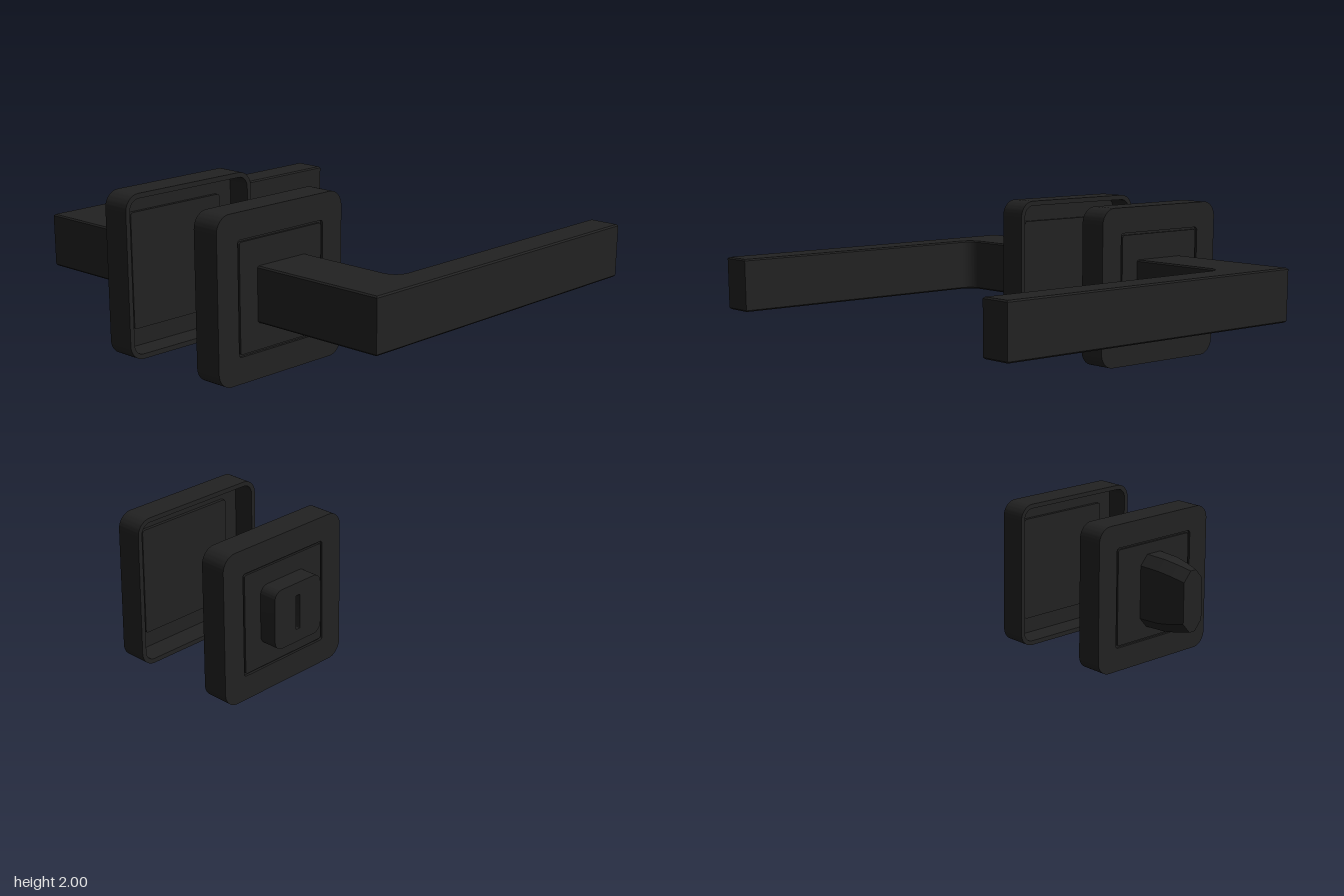
import * as THREE from 'three';
import { toCreasedNormals } from 'three/addons/utils/BufferGeometryUtils.js';
import { ConvexGeometry } from 'three/addons/geometries/ConvexGeometry.js';

const material = new THREE.MeshStandardMaterial({ color: 0x222222 });

function add(parent, geometry, name) {
  const mesh = new THREE.Mesh(geometry, material);
  mesh.name = name;
  parent.add(mesh);
  return mesh;
}

// Rounded rectangle centred on the origin
function roundedRect(w, h, r, Type = THREE.Shape) {
  const s = new Type(), x = w / 2, y = h / 2;
  s.moveTo(-x + r, -y);
  s.lineTo(x - r, -y);
  s.absarc(x - r, -y + r, r, -Math.PI / 2, 0, false);
  s.lineTo(x, y - r);
  s.absarc(x - r, y - r, r, 0, Math.PI / 2, false);
  s.lineTo(-x + r, y);
  s.absarc(-x + r, y - r, r, Math.PI / 2, Math.PI, false);
  s.lineTo(-x, -y + r);
  s.absarc(-x + r, -y + r, r, Math.PI, Math.PI * 1.5, false);
  return s;
}

// Extrude a shape from z0 to z1, with an optional small bevel kept inside the outline
function slab(shape, z0, z1, bevel = 0) {
  const g = new THREE.ExtrudeGeometry(shape, {
    depth: z1 - z0 - 2 * bevel, curveSegments: 8, bevelEnabled: bevel > 0,
    bevelSize: bevel, bevelThickness: bevel, bevelOffset: -bevel, bevelSegments: 1,
  });
  g.translate(0, 0, z0 + bevel);
  return toCreasedNormals(g, 0.5);
}

// Hollow-backed square rose with a grooved centre panel
function makeRose() {
  const rose = new THREE.Group();
  rose.name = 'rose';
  const rim = roundedRect(0.66, 0.66, 0.065);
  rim.holes.push(roundedRect(0.62, 0.62, 0.045, THREE.Path));
  add(rose, slab(rim, 0.19, 0.29), 'roseRim');
  const face = roundedRect(0.66, 0.66, 0.065);
  face.holes.push(roundedRect(0.45, 0.45, 0.012, THREE.Path));
  add(rose, slab(face, 0.29, 0.31), 'roseFace');
  add(rose, slab(roundedRect(0.47, 0.47, 0.012), 0.275, 0.299), 'rosePanelBack');
  add(rose, slab(roundedRect(0.432, 0.432, 0.01), 0.295, 0.309), 'rosePanel');
  return rose;
}

// L-shaped lever, outlined in plan (x, z) relative to the rose centre
function makeLever() {
  const s = new THREE.Shape();
  s.moveTo(-0.125, 0.3);
  s.lineTo(0.13, 0.3);
  s.lineTo(0.13, 0.71);
  s.absarc(0.19, 0.71, 0.06, Math.PI, Math.PI / 2, true);
  s.lineTo(1.35, 0.77);
  s.lineTo(1.35, 0.903);
  s.lineTo(-0.125, 0.903);
  s.closePath();
  return slab(s, -0.11, 0.11, 0.006).rotateX(Math.PI / 2);
}

// Tapered thumb turn: octagonal sections shrinking outward
function makeThumbTurn() {
  const points = [];
  for (const [z, hx, hy] of [[0.3, 0.08, 0.165], [0.41, 0.075, 0.162], [0.48, 0.067, 0.152], [0.545, 0.056, 0.138]]) {
    for (const sx of [-1, 1]) for (const sy of [-1, 1]) {
      points.push(new THREE.Vector3(sx * hx, sy * (hy - 0.045), z));
      points.push(new THREE.Vector3(sx * (hx - 0.04), sy * hy, z));
    }
  }
  return new ConvexGeometry(points);
}

// Square button with a release slot
function makeReleaseButton() {
  const button = new THREE.Group();
  button.name = 'releaseButton';
  const s = roundedRect(0.26, 0.26, 0.04);
  s.holes.push(roundedRect(0.024, 0.15, 0.004, THREE.Path));
  add(button, slab(s, 0.3, 0.39), 'buttonBody');
  add(button, new THREE.BoxGeometry(0.04, 0.17, 0.03).translate(0, 0, 0.335), 'slotFloor');
  return button;
}

export function createModel() {
  const model = new THREE.Group();
  model.name = 'doorHandleSet';
  // Each side is symmetric in y, so the back is the front turned about x
  for (const side of ['front', 'back']) {
    for (const [part, y] of [['Handle', 1.67], ['Lock', 0.33]]) {
      const unit = new THREE.Group();
      unit.name = side + part;
      unit.position.set(-0.51, y, 0);
      if (side === 'back') unit.rotation.x = Math.PI;
      unit.add(makeRose());
      if (part === 'Handle') add(unit, makeLever(), 'lever');
      else if (side === 'front') {
        const button = makeReleaseButton();
        button.position.y = 0.01;
        unit.add(button);
      } else add(unit, makeThumbTurn(), 'thumbTurn');
      model.add(unit);
    }
  }
  return model;
}
